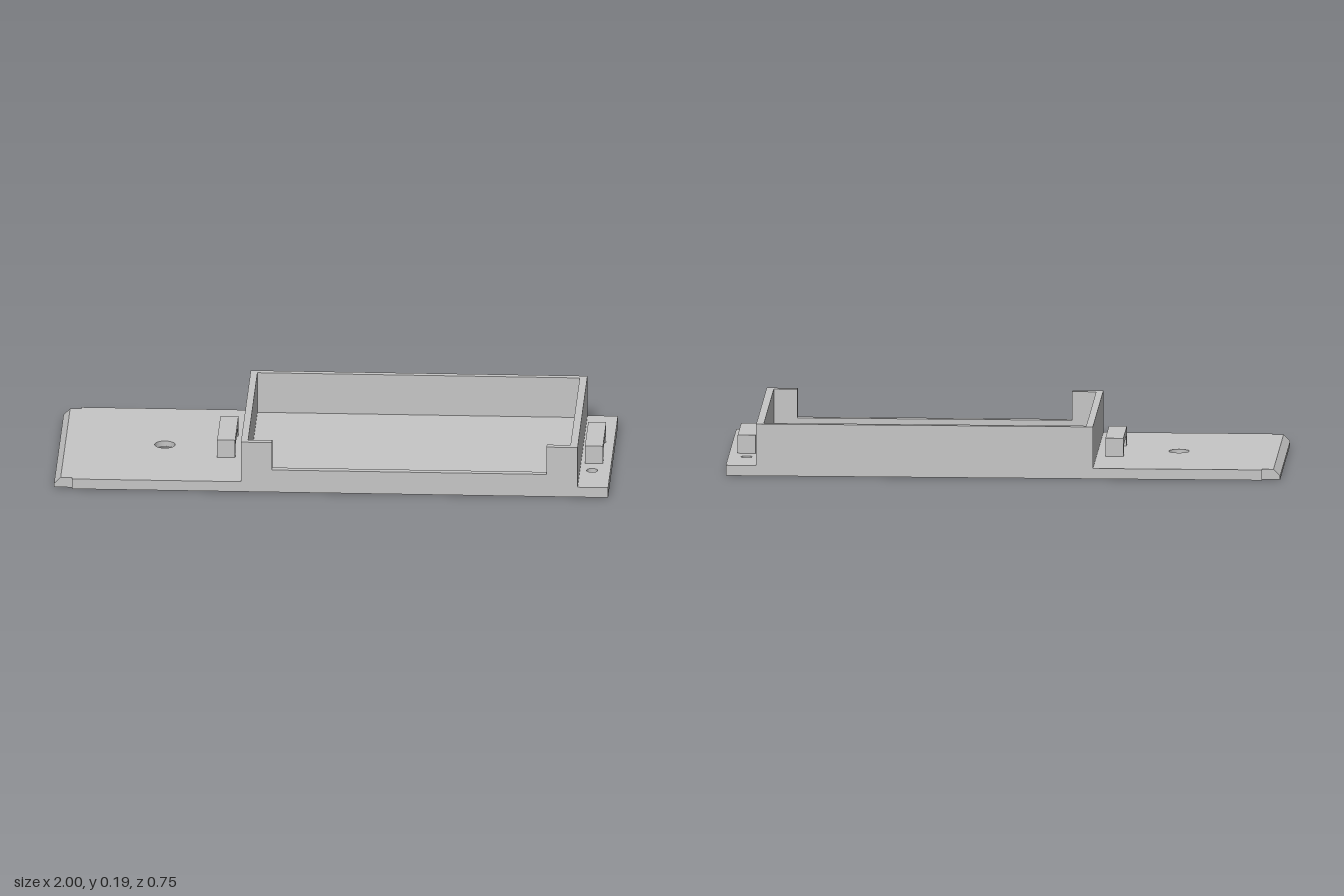
import * as THREE from 'three';

const grey = new THREE.MeshStandardMaterial({ color: 0xc6c6c6 });
grey.name = 'grey';

const T = 0.038;   // plate thickness
const W = 0.376;   // half width
const TIP = 0.36;  // half width of the narrowed end
const SCREW = { x: -0.617, r: 0.037, flare: 0.05 };

function polygon(points) {
  return new THREE.Shape(points.map(([x, y]) => new THREE.Vector2(x, y)));
}

function extrude(shape, depth, steps = 1) {
  return new THREE.ExtrudeGeometry(shape, { depth, steps, bevelEnabled: false, curveSegments: 24 });
}

// Extrudes a plan outline (x, -z) upwards from y0 to y1
function slab(shape, y0, y1, steps) {
  return extrude(shape, y1 - y0, steps).rotateX(-Math.PI / 2).translate(0, y0, 0);
}

// Widens the underside rim of the large screw hole into a countersink
function countersink(geometry) {
  const p = geometry.attributes.position;
  for (let i = 0; i < p.count; i++) {
    const dx = p.getX(i) - SCREW.x, z = p.getZ(i);
    if (p.getY(i) < 0.001 && Math.hypot(dx, z) < SCREW.r + 0.001) {
      const k = SCREW.flare / SCREW.r;
      p.setX(i, SCREW.x + dx * k);
      p.setZ(i, z * k);
    }
  }
  geometry.computeVertexNormals();
  return geometry;
}

export function createModel() {
  const model = new THREE.Group();
  model.name = 'mountingTray';
  const add = (name, geometry) => {
    const mesh = new THREE.Mesh(geometry, grey);
    mesh.name = name;
    model.add(mesh);
  };

  // Base plate with one large countersunk hole and two small screw holes
  const plate = polygon([
    [-0.97, -TIP], [-0.935, -TIP], [-0.935, -W], [1, -W],
    [1, W], [-0.935, W], [-0.935, TIP], [-0.97, TIP],
  ]);
  for (const [x, z, r] of [[SCREW.x, 0, SCREW.r], [0.934, 0.197, 0.02], [0.934, -0.197, 0.02]]) {
    plate.holes.push(new THREE.Path().absarc(x, z, r, 0, Math.PI * 2, true));
  }
  add('basePlate', countersink(slab(plate, 0, T, 2)));

  // Chamfered tongue at the narrow end
  const tongue = polygon([[-1, 0], [-0.97, 0], [-0.97, T], [-0.976, T], [-1, 0.014]]);
  add('chamferedTongue', extrude(tongue, TIP * 2).translate(0, 0, -TIP));

  // Tray walls, open in the middle of the front
  const walls = polygon([
    [-0.213, -W], [-0.213, -0.35], [-0.3, -0.35], [-0.3, 0.353],
    [0.863, 0.353], [0.863, -0.35], [0.778, -0.35], [0.778, -W],
    [0.89, -W], [0.89, W], [-0.325, W], [-0.325, -W],
  ]);
  add('trayWalls', slab(walls, T, 0.19));

  // Low sill across the front opening
  const sill = polygon([[-0.213, -W], [0.778, -W], [0.778, -0.35], [-0.213, -0.35]]);
  add('frontSill', slab(sill, T, 0.085));

  // Strap loops at both ends of the tray
  const arch = polygon([
    [-0.126, T], [-0.094, T], [-0.094, 0.076], [0.094, 0.076],
    [0.094, T], [0.126, T], [0.126, 0.105], [-0.126, 0.105],
  ]);
  for (const [name, x] of [['rightStrapLoop', -0.39], ['leftStrapLoop', 0.937]]) {
    add(name, extrude(arch, 0.065).translate(0, 0, -0.0325).rotateY(Math.PI / 2).translate(x, 0, 0));
  }

  return model;
}
